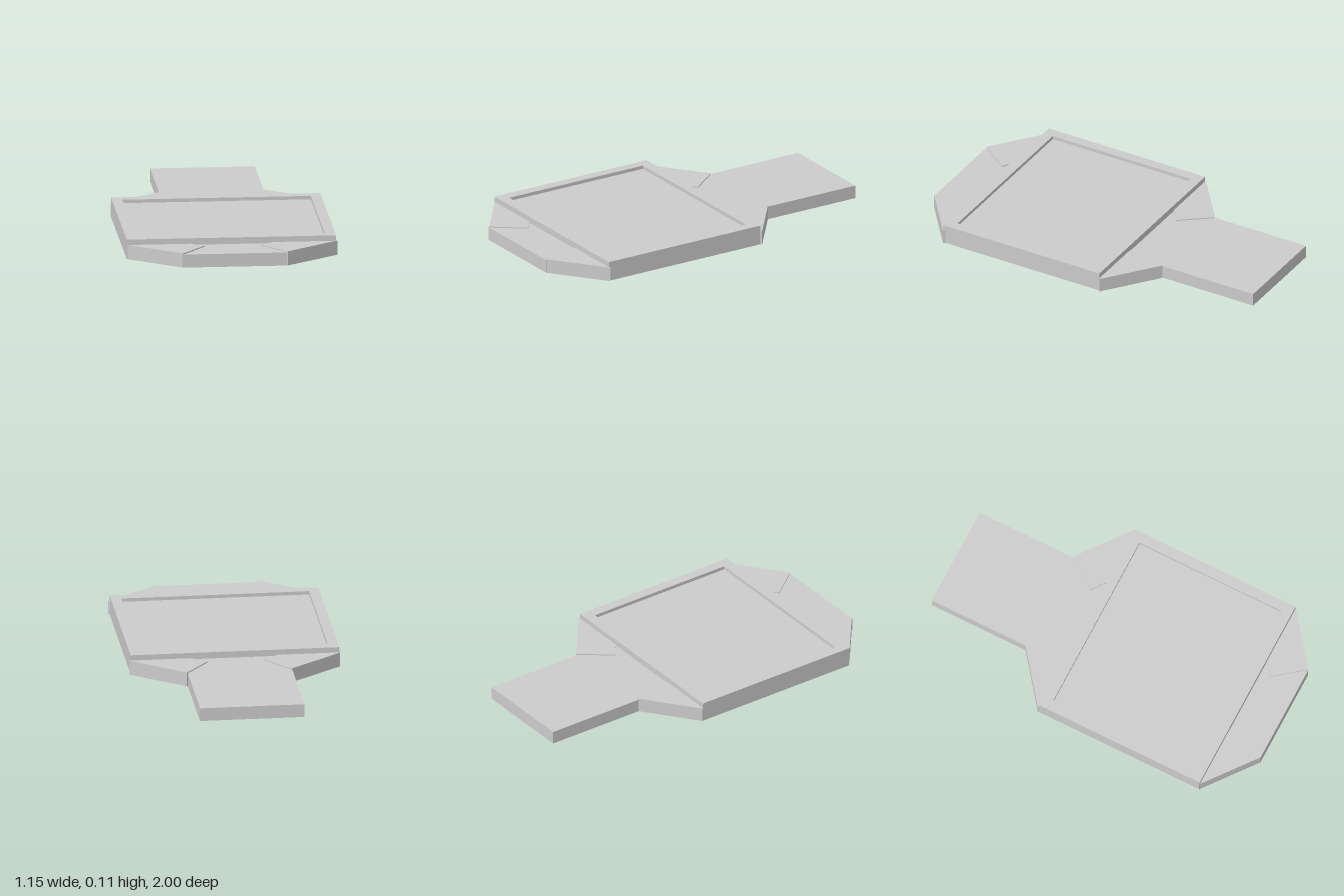
import * as THREE from 'three';

export function createModel() {
  const group = new THREE.Group();
  const material = new THREE.MeshStandardMaterial({ color: 0xcccccc, flatShading: true });

  function add(name, geometry, x, y, z) {
    const mesh = new THREE.Mesh(geometry, material);
    mesh.name = name;
    mesh.position.set(x, y, z);
    group.add(mesh);
    return mesh;
  }
  const box = (name, w, h, d, x, z) =>
    add(name, new THREE.BoxGeometry(w, h, d), x, h / 2, z);

  // Long central slab, reaching out at front and back
  box('centralSlab', 0.57, 0.073, 2, -0.004, 0);

  // Raised rim around the shallow recess
  const rect = (Type, w, d) => new Type([
    new THREE.Vector2(-w / 2, -d / 2), new THREE.Vector2(w / 2, -d / 2),
    new THREE.Vector2(w / 2, d / 2), new THREE.Vector2(-w / 2, d / 2),
  ]);
  const trayZ = 0.288;
  const rim = rect(THREE.Shape, 1.14, 0.98);
  rim.holes.push(rect(THREE.Path, 1.026, 0.864));
  const rimGeometry = new THREE.ExtrudeGeometry(rim, { depth: 0.109, bevelEnabled: false });
  rimGeometry.rotateX(-Math.PI / 2);
  add('trayRim', rimGeometry, -0.003, 0, trayZ);

  // Recessed floor of the tray
  box('trayFloor', 1.026, 0.09, 0.864, -0.003, trayZ);

  // Four slanted corner blocks, mirrored left-right and front-back
  for (const side of [-1, 1]) {
    for (const end of [-1, 1]) {
      const name = (end > 0 ? 'front' : 'rear') + (side > 0 ? 'Left' : 'Right') + 'Corner';
      const z = end > 0 ? 0.803 : -0.236;
      const corner = box(name, 0.367, 0.079, 0.212, side * 0.365, z);
      corner.rotation.y = 0.66 * side * end;
    }
  }
  return group;
}
